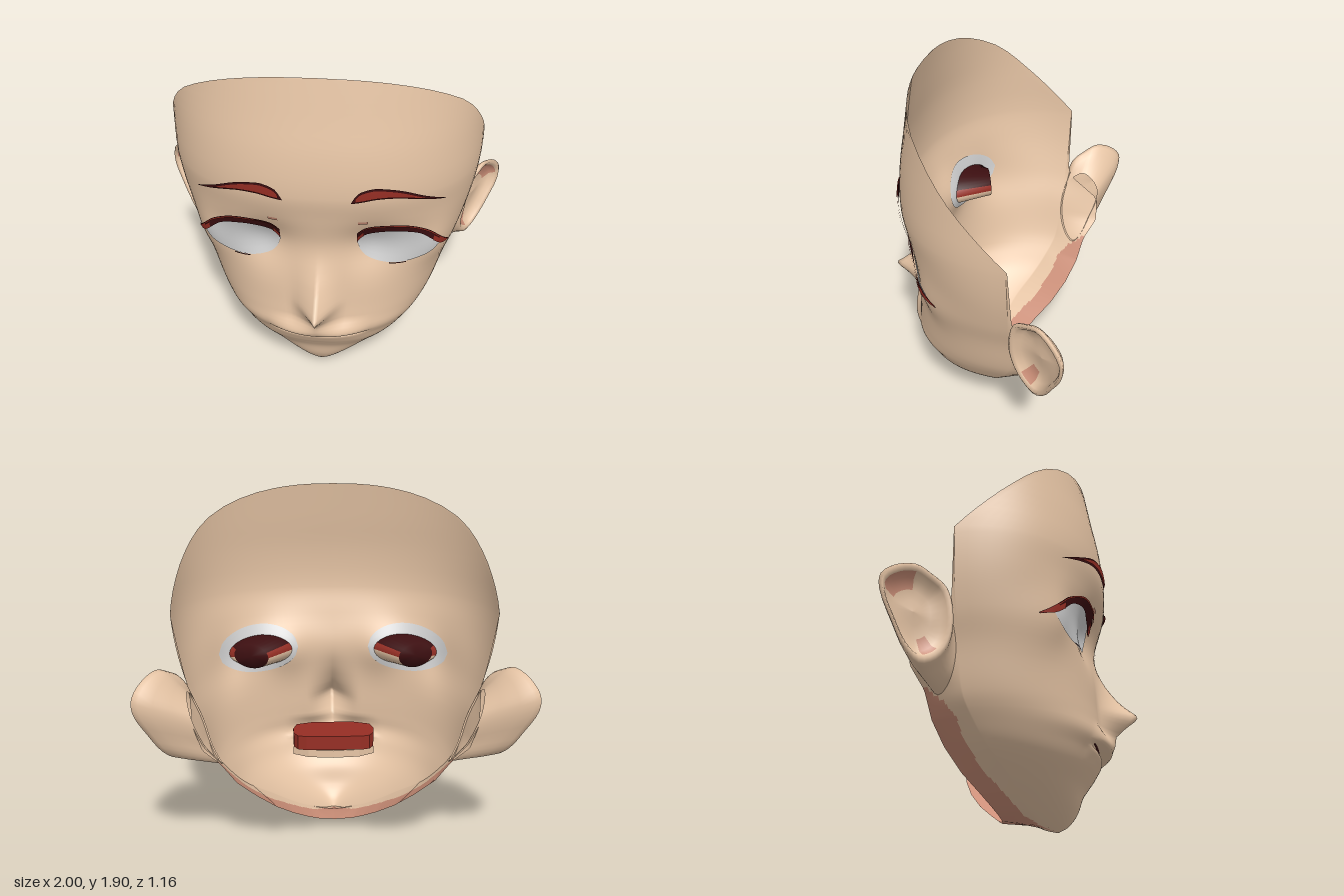
import * as THREE from 'three';

const paint = (name, color) =>
  new THREE.MeshStandardMaterial({ name, color, side: THREE.DoubleSide });

// Curve through [t, value] points, t rising; smooth (Hermite) or straight
function curve(p, smooth = true) {
  const slope = i => {
    const a = p[Math.max(i - 1, 0)], b = p[Math.min(i + 1, p.length - 1)];
    return (b[1] - a[1]) / (b[0] - a[0]);
  };
  return t => {
    if (t <= p[0][0]) return p[0][1];
    for (let i = 0; i < p.length - 1; i++) {
      const [t0, v0] = p[i], [t1, v1] = p[i + 1];
      if (t > t1) continue;
      const h = t1 - t0, k = (t - t0) / h;
      if (!smooth) return v0 + (v1 - v0) * k;
      const k2 = k * k, k3 = k2 * k;
      return v0 * (2 * k3 - 3 * k2 + 1) + v1 * (3 * k2 - 2 * k3)
        + h * slope(i) * (k3 - 2 * k2 + k) + h * slope(i + 1) * (k3 - k2);
    }
    return p[p.length - 1][1];
  };
}

// Head measurements by height
const frontZ = curve([[0, .15], [.03, .2], [.1, .25], [.2, .285], [.28, .335], [.35, .365], [.42, .4],
  [.5, .39], [.6, .38], [.8, .37], [.98, .365], [1.15, .4], [1.3, .43], [1.5, .42], [1.7, .385], [1.905, .35]]);
const halfWidth = curve([[0, .005], [.03, .07], [.1, .2], [.2, .36], [.3, .49], [.4, .57], [.52, .64],
  [.75, .71], [.9, .765], [1.1, .815], [1.3, .84], [1.5, .84], [1.905, .84]]);
const midZ = curve([[0, .15], [.03, .08], [.1, 0], [.2, -.06], [.3, -.14], [.4, -.2], [.52, -.25],
  [.75, -.27], [.9, -.28], [1.3, -.28], [1.905, -.28]]);
const rearX = curve([[0, 0], [.065, 0], [.075, .09], [.1, .15], [.15, .23], [.23, .32], [.33, .42], [.43, .52],
  [.55, .6], [.65, .68], [.75, .715], [.95, .775], [1.3, .84]], false);
const rearZ = curve([[0, .15], [.03, .07], [.05, 0], [.065, -.135], [.075, -.145], [.1, -.17], [.15, -.22],
  [.23, -.3], [.33, -.37], [.43, -.415], [.55, -.44], [.65, -.5], [.78, -.49], [.9, -.31], [.95, -.295],
  [1.3, -.285]], false);
const rimZ = curve([[1.3, -.285], [1.58, 0], [1.72, .13], [1.905, .35]], false);
// share of the rear strip before the darker underside begins
const shadeFrom = curve([[0, 1], [.04, .7], [.06, .3], [.1, .3], [.22, .5], [.37, .44], [.43, .38], [.5, .55], [.58, 1]], false);
const noseOut = curve([[.42, 0], [.46, .035], [.5, .075], [.55, .135], [.58, .18], [.61, .2], [.65, .155],
  [.7, .105], [.75, .07], [.8, .04], [.88, .01], [.95, 0], [1.05, 0]]);
const lipOut = curve([[.27, 0], [.32, .01], [.35, .015], [.368, .006], [.382, -.033], [.39, -.015], [.398, .028],
  [.415, .042], [.45, .03], [.5, 0]]);

const N = 2.3;
const bump = (x, y, cx, cy, rx, ry) => Math.exp(-(((x - cx) / rx) ** 2) - ((y - cy) / ry) ** 2);
// Nose, lips, eye sockets and cheekbones added to the plain head
function relief(x, y) {
  const ax = Math.abs(x);
  const nose = noseOut(y) * Math.pow(Math.max(0, 1 - ax / .15), 1.45);
  const lips = lipOut(y) * Math.max(0, 1 - (x / .28) ** 2);
  return nose + lips - .055 * bump(ax, y, .27, .95, .14, .15) + .045 * bump(ax, y, .63, .9, .1, .17);
}
function faceZ(x, y) {
  const k = Math.max(0, 1 - Math.pow(Math.abs(x) / halfWidth(y), N));
  return midZ(y) + (frontZ(y) - midZ(y)) * Math.pow(k, 1 / N) + relief(x, y);
}

// Surface through rows of [x, y, z]; pick(row, column) chooses the material
function skinMesh(name, rows, mats, pick = () => 0, closed = false) {
  const cols = rows[0].length, lists = mats.map(() => []);
  for (let i = 0; i < rows.length - 1; i++)
    for (let j = 0; j < (closed ? cols : cols - 1); j++) {
      const a = i * cols + j, b = i * cols + (j + 1) % cols, c = a + cols, d = b + cols;
      lists[pick(i, j)].push(a, c, b, b, c, d);
    }
  const g = new THREE.BufferGeometry();
  g.setAttribute('position', new THREE.Float32BufferAttribute(rows.flat(2), 3));
  g.setIndex(lists.flat());
  let start = 0;
  lists.forEach((l, m) => { g.addGroup(start, l.length, m); start += l.length; });
  g.computeVertexNormals();
  const mesh = new THREE.Mesh(g, mats);
  mesh.name = name;
  return mesh;
}

// Thin patch lying on the face between two height curves
function patch(name, s, x0, x1, low, high, offset, mat) {
  const rows = [];
  for (let i = 0; i <= 6; i++) {
    const row = [];
    for (let j = 0; j <= 28; j++) {
      const x = x0 + (x1 - x0) * j / 28;
      const y = high(x) + (low(x) - high(x)) * i / 6;
      row.push([s * x, y, faceZ(x, y) + offset]);
    }
    rows.push(row);
  }
  return skinMesh(name, rows, [mat]);
}

function buildFace(skin, shade) {
  const ys = [1.905, 1.902, 1.897, 1.89, 1.88, 1.86, 1.83, 1.79];
  const span = (a, b, step) => { for (let y = a; y > b + 1e-6; y -= step) ys.push(y); };
  span(1.74, 1.3, .055); span(1.3, .7, .03); span(.7, .46, .02);
  span(.46, .1, .01);
  ys.push(.1, .085, .075, .07, .065, .057, .05, .04, .03, .02, .01, 0);
  const F = 32, R = 24;
  const rows = ys.map(y => {
    const zm = midZ(y), depth = frontZ(y) - zm, w = halfWidth(y), half = [];
    const cut = y > 1.3 ? Math.min(1, Math.max(0, (rimZ(y) - zm) / depth)) : 0;
    const end = Math.acos(Math.pow(cut, N / 2));
    for (let j = 0; j <= F; j++) {
      const a = end * Math.pow(j / F, 1.4);
      const x = w * Math.pow(Math.sin(a), 2 / N);
      half.push([x, y, zm + depth * Math.pow(Math.max(0, Math.cos(a)), 2 / N) + relief(x, y)]);
    }
    const [ex, , ez] = half[F];
    for (let j = 1; j <= R; j++) {
      const k = y > 1.3 ? 0 : j / R;
      half.push([ex + (rearX(y) - ex) * k, y, ez + (rearZ(y) - ez) * k]);
    }
    return [...half.slice(1).reverse().map(([x, yy, z]) => [-x, yy, z]), ...half];
  });
  const mid = F + R;
  // underside of the jaw is the darker skin
  return skinMesh('faceShell', rows, [skin, shade], (i, j) => {
    const c = j >= mid ? j - mid : mid - 1 - j;
    return (c + .5 - F) / R > shadeFrom(ys[i]) ? 1 : 0;
  });
}

function buildEar(s, skin, shade) {
  const outline = new THREE.CatmullRomCurve3([[-.28, .83], [-.31, .98], [-.38, 1.035], [-.44, 1.062],
    [-.52, 1.03], [-.578, .96], [-.578, .88], [-.53, .75], [-.48, .64], [-.42, .585], [-.35, .62], [-.3, .7]]
    .map(([z, y]) => new THREE.Vector3(.78 + (-.28 - z) * .73 - Math.max(0, .85 - y) * .2, y, z)), true);
  const pts = outline.getPoints(36).slice(0, 36), mid = new THREE.Vector3(.88, .84, -.43);
  // root of the ear, lying on the side of the head
  const roots = pts.map(p => {
    const y = .52 + (p.y - .585) * .85, z = -.27 + (p.z + .28) * .72;
    const k = Math.min(1, Math.max(0, (midZ(y) - z) / (midZ(y) - rearZ(y))));
    return new THREE.Vector3(halfWidth(y) + (rearX(y) - halfWidth(y)) * k - .008, y, z);
  });
  const back = [[0, 0], [.35, -.01], [.7, -.02], [.92, -.012]].map(([k, n]) => pts.map((p, j) => {
    const q = roots[j].clone().lerp(p, k);
    return [s * (q.x + .8 * n), q.y, q.z + .6 * n];
  }));
  // [scale, push along the ear's facing direction], round the rim into the bowl
  const bowl = [[1, 0], [.92, .008], [.84, -.005], [.74, -.035], [.5, -.05], [.25, -.05], [0, -.045]]
    .map(([k, n]) => pts.map(p => {
      const q = mid.clone().lerp(p, k);
      return [s * (q.x + .8 * n), q.y, q.z + .6 * n];
    }));
  return skinMesh(s > 0 ? 'leftEar' : 'rightEar', [...back, ...bowl], [skin, shade],
    (i, j) => (i === 6 || i === 7) && ((j > 8 && j < 16) || (j > 27 && j < 31)) ? 1 : 0, true);
}

function buildEye(s, m) {
  const eye = new THREE.Group();
  eye.name = s > 0 ? 'leftEye' : 'rightEye';
  const top = curve([[.2, .99], [.22, 1.04], [.28, 1.07], [.4, 1.08], [.52, 1.05], [.6, .99], [.645, .94]]);
  const bottom = curve([[.2, .98], [.215, .93], [.25, .885], [.33, .85], [.45, .838], [.55, .855], [.61, .89], [.645, .935]]);
  const lashTop = curve([[.2, 1.06], [.24, 1.1], [.33, 1.113], [.45, 1.1], [.57, 1.035], [.63, .97], [.68, .9]]);
  const lashLow = curve([[.2, .99], [.23, 1.03], [.3, 1.053], [.4, 1.06], [.52, 1.025], [.6, .955], [.64, .915], [.68, .893]]);
  const ring = d => x => .965 + d * .14 * Math.sqrt(Math.max(0, 1 - ((x - .43) / .225) ** 2));
  eye.add(
    patch('eyeWhite', s, .2, .645, bottom, top, .006, m.white),
    patch('eyeWhiteBack', s, .205, .655, ring(-1), ring(1), -.008, m.white),
    patch('upperLash', s, .2, .68, lashLow, lashTop, .014, m.dark),
    patch('lashEdge', s, .21, .68, x => lashTop(x) - .01, lashTop, .02, m.red),
    patch('innerLashCorner', s, .2, .235, lashLow, x => lashLow(x) + .035, .02, m.red),
    patch('outerLashCorner', s, .595, .672, lashLow, x => Math.min(lashTop(x), lashLow(x) + .035), .02, m.red),
    patch('lowerLash', s, .37, .46, x => bottom(x) - .003, x => bottom(x) + .003, .012, m.dark),
    patch('lidFold', s, .205, .255, () => 1.127, () => 1.145, .004, m.shade));
  // tapered socket behind the eye
  const front = [], back = [], tip = [];
  for (let j = 0; j < 28; j++) {
    const a = j / 28 * Math.PI * 2, c = Math.cos(a), d = Math.sin(a);
    const x = .42 + .18 * c, y = .955 + .09 * d;
    front.push([s * x, y, faceZ(x, y) - .014]);
    back.push([s * (.47 + .1 * c), .955 + .07 * d, .14 + .04 * c]);
    tip.push([s * .47, .955, .14]);
  }
  eye.add(skinMesh('eyeSocket', [front, back, tip], [m.dark, m.red, m.skin], (i, j) => {
    const a = (j + .5) / 28 * Math.PI * 2, c = Math.cos(a), d = Math.sin(a);
    if (i > 0) return 0;
    if ((c < -.5 && d < 0) || (c > .6 && d < -.3)) return 2;
    return Math.abs(c) > .87 ? 1 : 0;
  }, true));
  return eye;
}

function buildBrow(s, m) {
  const brow = new THREE.Group();
  brow.name = s > 0 ? 'leftBrow' : 'rightBrow';
  const top = curve([[.17, 1.29], [.2, 1.34], [.25, 1.363], [.3, 1.368], [.42, 1.34], [.55, 1.275], [.64, 1.225]]);
  const low = curve([[.17, 1.285], [.22, 1.292], [.3, 1.305], [.4, 1.3], [.5, 1.273], [.64, 1.222]]);
  brow.add(patch('browOutline', s, .17, .64, low, top, .01, m.dark),
    patch('browFill', s, .19, .54, x => low(x) + .009, x => Math.max(low(x) + .009, top(x) - .009), .016, m.red));
  return brow;
}

// Flat slab in plan, extruded upward
function slab(name, plan, y, height, mat) {
  const shape = new THREE.Shape(plan.map(([x, z]) => new THREE.Vector2(x, -z)));
  const g = new THREE.ExtrudeGeometry(shape, { depth: height, bevelEnabled: false });
  g.rotateX(-Math.PI / 2);
  const mesh = new THREE.Mesh(g, mat);
  mesh.name = name;
  mesh.position.y = y;
  return mesh;
}

export function createModel() {
  const m = {
    skin: paint('skin', 0xf0cdac), shade: paint('shadedSkin', 0xcc8f78),
    white: paint('eyeWhite', 0xd2d2d2), red: paint('red', 0x962e24), dark: paint('darkRed', 0x3c0e10),
  };
  const model = new THREE.Group();
  model.name = 'faceMask';
  model.add(buildFace(m.skin, m.shade));
  for (const s of [1, -1]) model.add(buildEar(s, m.skin, m.shade), buildEye(s, m), buildBrow(s, m));

  // Mouth line, cavity and the inner side of the lower lip
  model.add(patch('mouthLine', 1, -.24, .24, () => .381, () => .388, .008, m.dark));
  model.add(slab('mouthCavity', [[-.22, .29], [-.24, .22], [-.235, .15], [-.21, .105], [-.16, .09], [.16, .09],
    [.21, .105], [.235, .15], [.24, .22], [.22, .29], [.12, .325], [-.12, .325]], .395, .085, m.red));
  model.add(slab('innerLip', [[-.22, .27], [-.24, .2], [-.15, .15], [0, .135], [.15, .15],
    [.24, .2], [.22, .27], [0, .3]], .325, .045, m.skin));
  return model;
}
